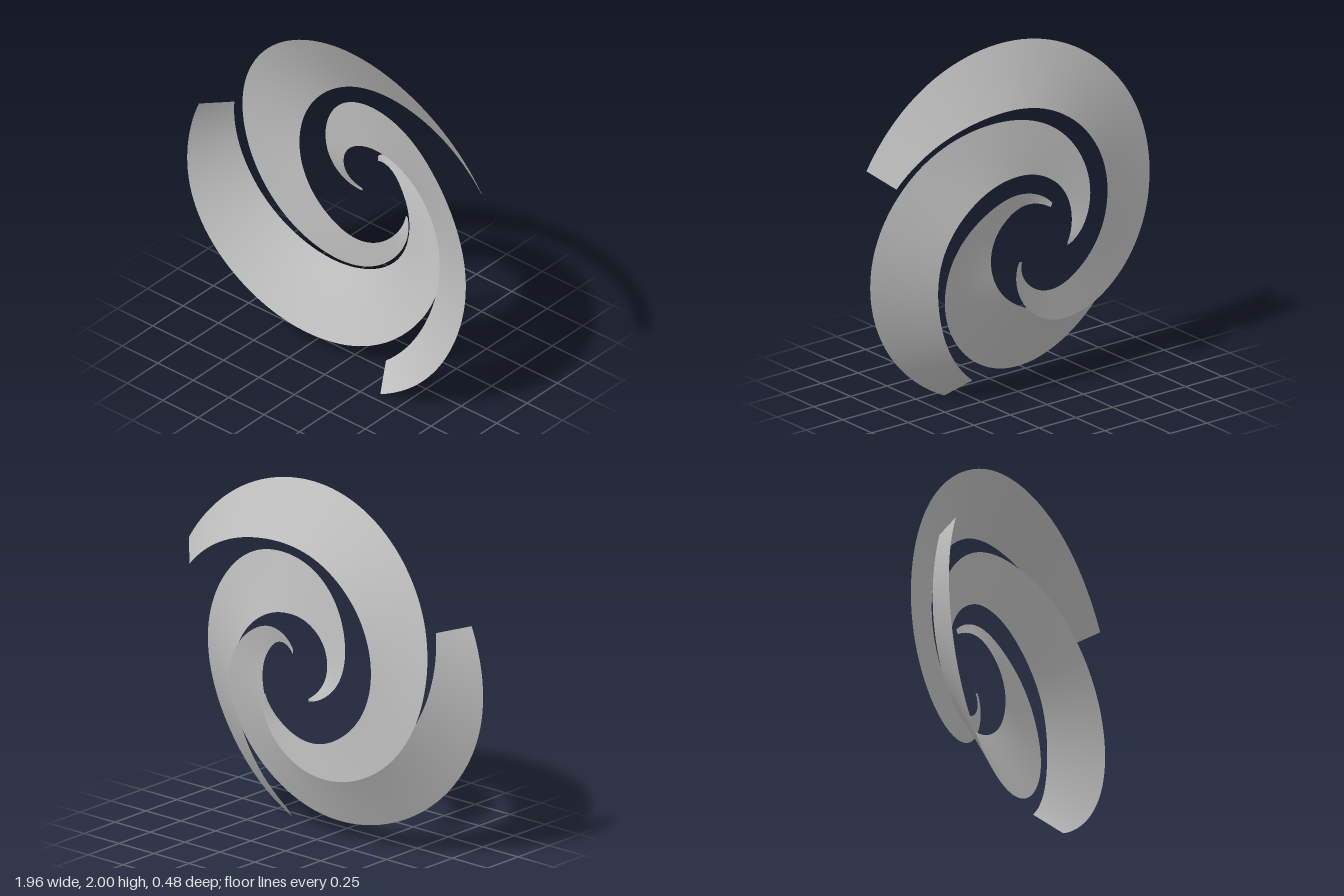
import * as THREE from 'three';

// Each edge is a clockwise spiral about the hub: start and end angle in degrees,
// then radii and depths at equal angle steps.
const arms = {
  upperArm: {
    outer: {
      from: -29.7, to: -331.8,
      radii: [0.2, 0.36, 0.537, 0.685, 0.824, 0.953, 1.03, 1.071, 1.11],
      depths: [-0.23, -0.205, -0.167, -0.127, -0.083, -0.022, 0.04, 0.071, 0.073],
    },
    inner: {
      from: -31.8, to: -333.7,
      radii: [0.186, 0.263, 0.354, 0.415, 0.496, 0.586, 0.682, 0.789, 0.968],
      depths: [-0.235, -0.193, -0.162, -0.145, -0.135, -0.13, -0.121, -0.1, -0.047],
    },
  },
  rightArm: {
    outer: {
      from: 206.3, to: -69.9,
      radii: [0.167, 0.322, 0.46, 0.594, 0.692, 0.79, 0.89, 0.954, 1.011],
      depths: [-0.237, -0.194, -0.158, -0.105, -0.038, 0.055, 0.127, 0.182, 0.198],
    },
    inner: {
      from: 200.6, to: -72.4,
      radii: [0.162, 0.229, 0.283, 0.322, 0.366, 0.439, 0.549, 0.68, 0.881],
      depths: [-0.235, -0.183, -0.15, -0.125, -0.107, -0.085, -0.048, -0.006, 0.057],
    },
  },
  lowerArm: {
    outer: {
      from: 103, to: -204.1,
      radii: [0.2, 0.303, 0.402, 0.557, 0.702, 0.838, 0.918, 0.973, 0.987],
      depths: [-0.24, -0.2, -0.155, -0.092, -0.004, 0.085, 0.171, 0.232, 0.236],
    },
    inner: {
      from: 102.6, to: -205.7,
      radii: [0.174, 0.219, 0.241, 0.286, 0.354, 0.443, 0.568, 0.716, 0.877],
      depths: [-0.235, -0.186, -0.148, -0.122, -0.108, -0.095, -0.065, -0.005, 0.072],
    },
  },
};

const HUB_HEIGHT = 0.95;

// Smooths angle, radius and depth together, then turns them into points in space.
function spiralPoints({ from, to, radii, depths }, segments) {
  const last = radii.length - 1;
  const knots = radii.map((r, i) => new THREE.Vector3(
    THREE.MathUtils.degToRad(THREE.MathUtils.lerp(from, to, i / last)), r, depths[i]));
  const curve = new THREE.CatmullRomCurve3(knots, false, 'catmullrom', 0.5);
  return curve.getPoints(segments).map(({ x: angle, y: r, z }) =>
    new THREE.Vector3(r * Math.cos(angle), HUB_HEIGHT + r * Math.sin(angle), z));
}

// A thin ribbon ruled straight across from the outer to the inner edge.
function ribbon({ outer, inner }, segments = 120, across = 4) {
  const outerPoints = spiralPoints(outer, segments);
  const innerPoints = spiralPoints(inner, segments);
  const positions = [];
  const index = [];
  const row = across + 1;
  for (let i = 0; i <= segments; i++) {
    for (let j = 0; j <= across; j++) {
      const p = outerPoints[i].clone().lerp(innerPoints[i], j / across);
      positions.push(p.x, p.y, p.z);
      if (i < segments && j < across) {
        const a = i * row + j;
        index.push(a, a + 1, a + row + 1, a, a + row + 1, a + row);
      }
    }
  }
  const geometry = new THREE.BufferGeometry();
  geometry.setAttribute('position', new THREE.Float32BufferAttribute(positions, 3));
  geometry.setIndex(index);
  geometry.computeVertexNormals();
  return geometry;
}

export function createModel() {
  const group = new THREE.Group();
  group.name = 'spiralRotor';
  const grey = new THREE.MeshStandardMaterial({ color: 0xc0c0c0, side: THREE.DoubleSide });
  grey.name = 'grey';

  // three swirling arms
  for (const [name, edges] of Object.entries(arms)) {
    const mesh = new THREE.Mesh(ribbon(edges), grey);
    mesh.name = name;
    group.add(mesh);
  }
  return group;
}
